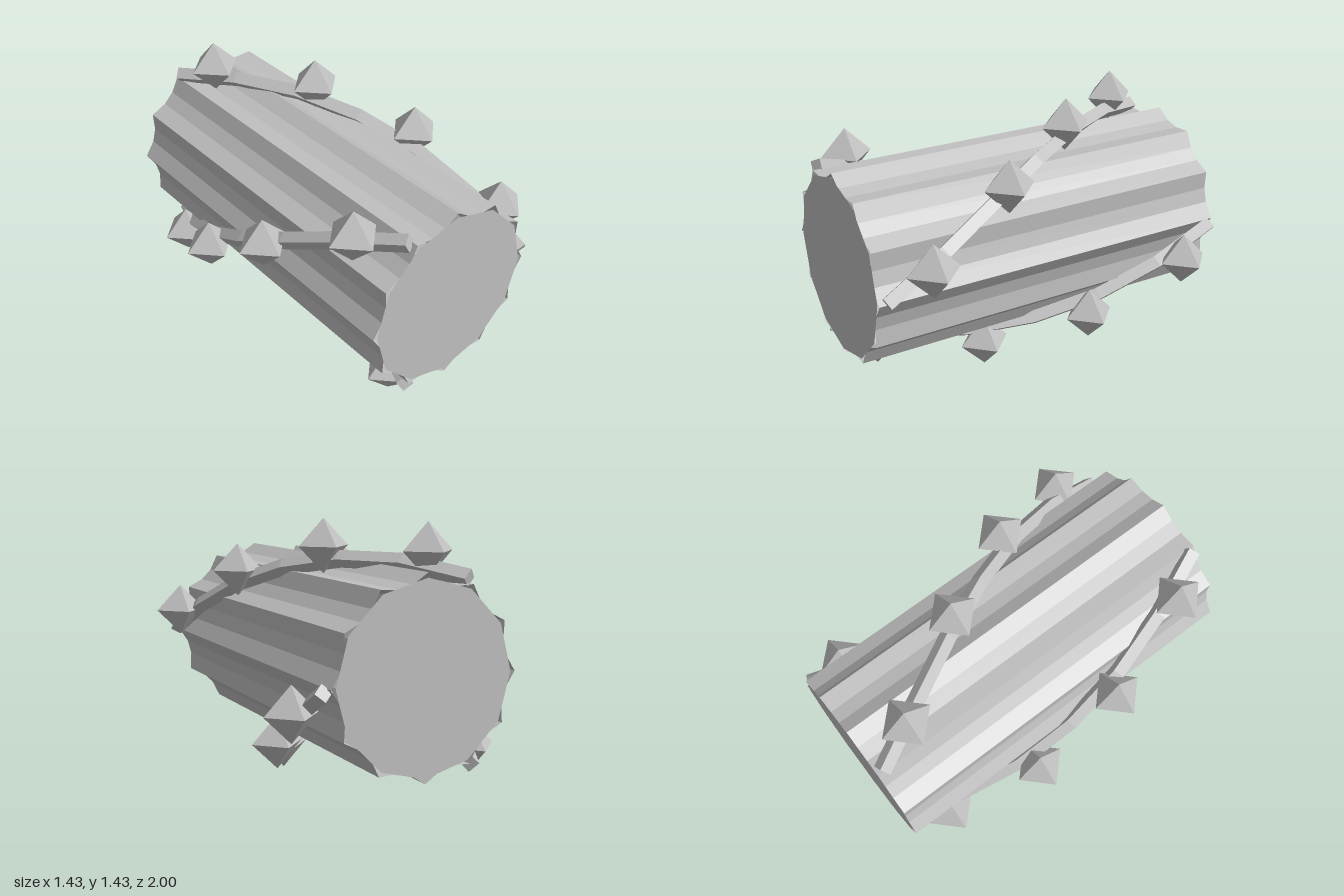
import * as THREE from 'three';

const AXIS_Y = 0.716;      // height of the column axis
const FLUTES = 12;
const STEP = Math.PI / 3;  // helix turn per unit of z
const stone = new THREE.MeshStandardMaterial({ color: 0xbfbfbf });
const shellStone = new THREE.MeshStandardMaterial({ color: 0xbfbfbf, side: THREE.DoubleSide });
stone.name = 'greyStone';
shellStone.name = 'greyStoneShell';

// point at an angle measured from the top towards +x
const polar = (angle, r, z) => new THREE.Vector3(Math.sin(angle) * r, Math.cos(angle) * r, z);

class Helix extends THREE.Curve {
  constructor(phase) {
    super();
    this.phase = phase;
  }
  getPoint(t, target = new THREE.Vector3()) {
    const z = (t * 2 - 1) * 0.97;
    return target.copy(polar(this.phase + z * STEP, 0.52, z));
  }
}

function flat(geometry) {
  const g = geometry.index ? geometry.toNonIndexed() : geometry;
  g.computeVertexNormals();
  return g;
}

function add(parent, name, geometry, material = stone) {
  const mesh = new THREE.Mesh(geometry, material);
  mesh.name = name;
  parent.add(mesh);
  return mesh;
}

// open shell with three facets per flute
function flutedShell() {
  const n = FLUTES * 3;
  const g = new THREE.CylinderGeometry(1, 1, 2, n, 1, true);
  const p = g.attributes.position;
  for (let i = 0; i < p.count; i++) {
    const r = (i % (n + 1)) % 3 === 0 ? 0.5 : 0.455;
    p.setXYZ(i, p.getX(i) * r, p.getY(i), p.getZ(i) * r);
  }
  g.rotateX(Math.PI / 2);
  return flat(g);
}

// square-section tube closed at both ends
function strandGeometry(phase) {
  const segments = 6;
  const g = new THREE.TubeGeometry(new Helix(phase), segments, 0.045, 4, false);
  const e = segments * 5;
  g.setIndex([...g.index.array, 0, 1, 2, 0, 2, 3, e, e + 2, e + 1, e, e + 3, e + 2]);
  return flat(g);
}

export function createModel() {
  const model = new THREE.Group();
  model.name = 'studdedColumn';
  model.position.y = AXIS_Y;

  // column body and end discs
  add(model, 'flutedShaft', flutedShell(), shellStone);
  const disc = new THREE.CircleGeometry(0.475, FLUTES);
  add(model, 'frontCap', disc).position.z = 1;
  const back = add(model, 'backCap', disc);
  back.position.z = -1;
  back.rotation.y = Math.PI;

  // three winding strands with four studs each
  const studGeometry = new THREE.OctahedronGeometry(0.141);
  for (let k = 0; k < 3; k++) {
    const phase = Math.PI / 6 + (k * Math.PI * 2) / 3;
    const strand = new THREE.Group();
    strand.name = 'studdedStrand';
    add(strand, 'windingStrand', strandGeometry(phase));
    for (const z of [-0.75, -0.25, 0.25, 0.75]) {
      add(strand, 'stud', studGeometry).position.copy(polar(phase + z * STEP, 0.595, z));
    }
    model.add(strand);
  }

  const root = new THREE.Group();
  root.name = 'model';
  root.add(model);
  return root;
}
